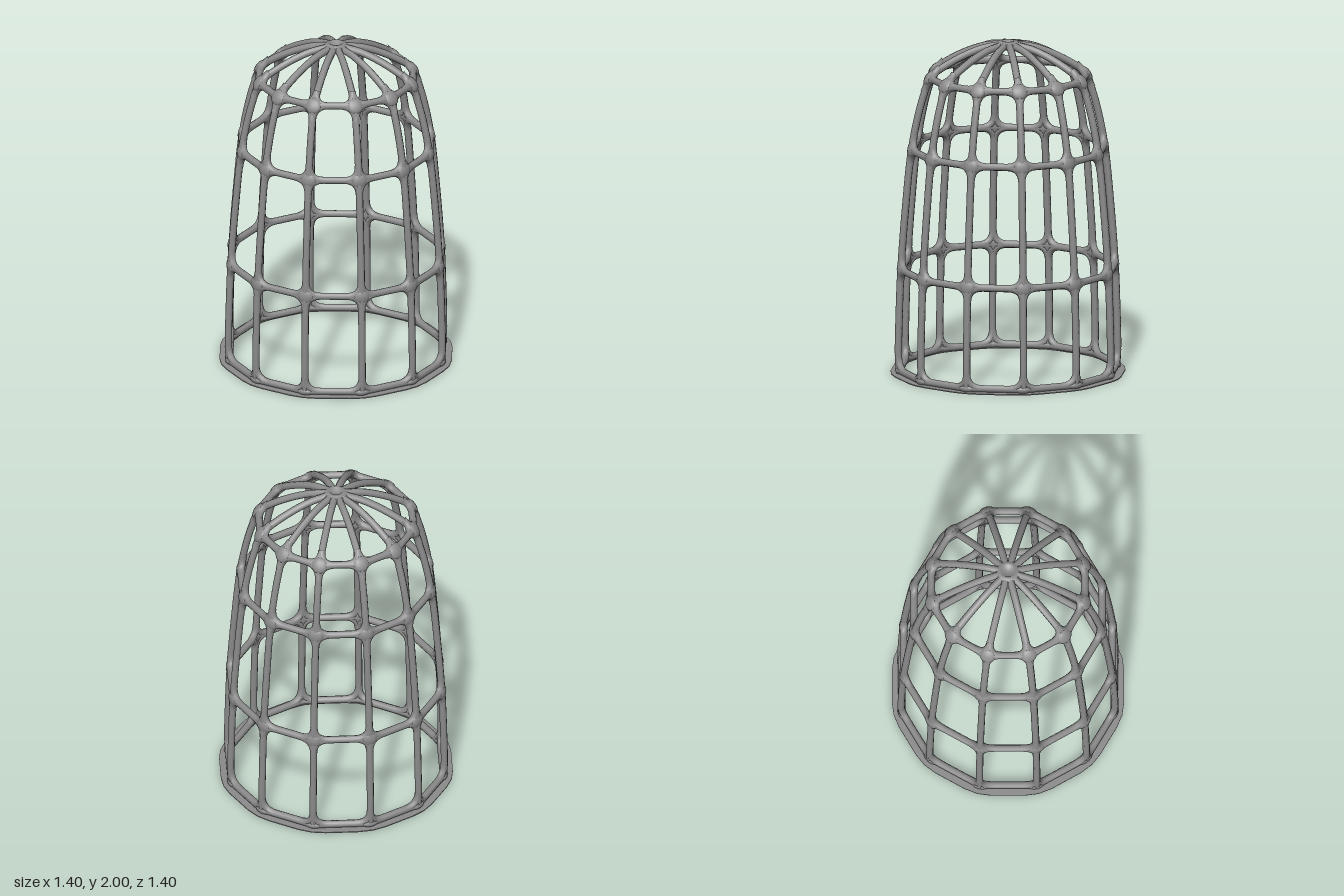
import * as THREE from 'three';
import { mergeGeometries } from 'three/addons/utils/BufferGeometryUtils.js';

const SIDES = 12;
const BAR = 0.022; // bar radius
const STEP = (Math.PI * 2) / SIDES;

// Rib profile as [radius, height]
const PROFILE = [
  [0.65, 0.024], [0.655, 0.12], [0.651, 0.34], [0.64, 0.632], [0.613, 1.0], [0.577, 1.353],
  [0.533, 1.58], [0.493, 1.72], [0.47, 1.788], [0.43, 1.822], [0.3, 1.899], [0.16, 1.956], [0.04, 1.977],
];
// Hoops sit on a profile point; tilt is the lean of the surface there
const HOOPS = [
  { name: 'baseHoop', index: 0, tilt: 0 },
  { name: 'lowerHoop', index: 3, tilt: 0.05 },
  { name: 'middleHoop', index: 5, tilt: 0.14 },
  { name: 'upperHoop', index: 8, tilt: 0.6 },
];

const polar = (r, y, angle) => new THREE.Vector3(Math.cos(angle) * r, y, Math.sin(angle) * r);
const tube = (curve, segments) => new THREE.TubeGeometry(curve, segments, BAR, 8, false);
const ribCurve = (angle) =>
  new THREE.CatmullRomCurve3(PROFILE.map(([r, y]) => polar(r, y, angle)));

// Curved gusset joining a hoop to a rib
function gusset(node, alongHoop, alongRib) {
  const reach = 0.09;
  return tube(new THREE.QuadraticBezierCurve3(
    node.clone().addScaledVector(alongHoop, reach),
    node.clone(),
    node.clone().addScaledVector(alongRib, reach)), 6);
}

// Flattened boss that fills the middle of a crossing
function boss(node, tilt, angle) {
  return new THREE.SphereGeometry(1, 12, 8)
    .scale(0.025, Math.min(0.05, node.y), 0.05)
    .rotateZ(tilt)
    .rotateY(-angle)
    .translate(node.x, node.y, node.z);
}

// Flat twelve-sided outline with softened corners
function outline(target, radius) {
  for (let i = 0; i < SIDES; i++) {
    for (const offset of [-0.12, 0, 0.12]) {
      const a = i * STEP + offset;
      const r = radius * (offset ? 0.992 : 1);
      const x = Math.cos(a) * r, y = Math.sin(a) * r;
      if (i === 0 && offset < 0) target.moveTo(x, y);
      else target.lineTo(x, y);
    }
  }
  target.closePath();
  return target;
}

export function createModel() {
  const model = new THREE.Group();
  model.name = 'domedCage';
  const material = new THREE.MeshStandardMaterial({ color: 0x8c8c8c });
  const add = (name, geometry) => {
    const mesh = new THREE.Mesh(geometry, material);
    mesh.name = name;
    model.add(mesh);
  };

  // Upright ribs curving over into the dome
  const curves = Array.from({ length: SIDES }, (_, i) => ribCurve(i * STEP));
  add('ribs', mergeGeometries(curves.map((c) => tube(c, 60))));

  // Hoops of straight bars, with rounded gussets and a boss at every crossing
  for (const { name, index, tilt } of HOOPS) {
    const [r, y] = PROFILE[index];
    const t = index / (PROFILE.length - 1);
    const bars = [];
    const joints = [];
    curves.forEach((curve, i) => {
      const node = polar(r, y, i * STEP);
      const next = polar(r, y, (i + 1) * STEP);
      bars.push(tube(new THREE.LineCurve3(node, next), 1));
      joints.push(boss(node, tilt, i * STEP));
      for (const side of [-1, 1]) {
        const alongHoop = polar(r, y, (i + side) * STEP).sub(node).normalize();
        for (const up of index === 0 ? [1] : [-1, 1]) {
          const alongRib = curve.getPoint(t + up * 0.06).sub(node).normalize();
          joints.push(gusset(node, alongHoop, alongRib));
        }
      }
    });
    add(name, mergeGeometries(bars));
    add(name + 'Joints', mergeGeometries(joints));
  }

  // Dimpled hub at the crown
  const hub = [
    [0, 1.955], [0.06, 1.953], [0.085, 1.963], [0.075, 1.983],
    [0.055, 1.998], [0.036, 2], [0.028, 1.982], [0, 1.982],
  ].map(([x, y]) => new THREE.Vector2(x, y));
  add('crownHub', new THREE.LatheGeometry(hub, 24));

  // Thin flat flange under the base hoop
  const flange = outline(new THREE.Shape(), 0.7);
  flange.holes.push(outline(new THREE.Path(), 0.632));
  const plate = new THREE.ExtrudeGeometry(flange, { depth: 0.006, bevelEnabled: false });
  plate.rotateX(-Math.PI / 2);
  add('baseFlange', plate);

  return model;
}
